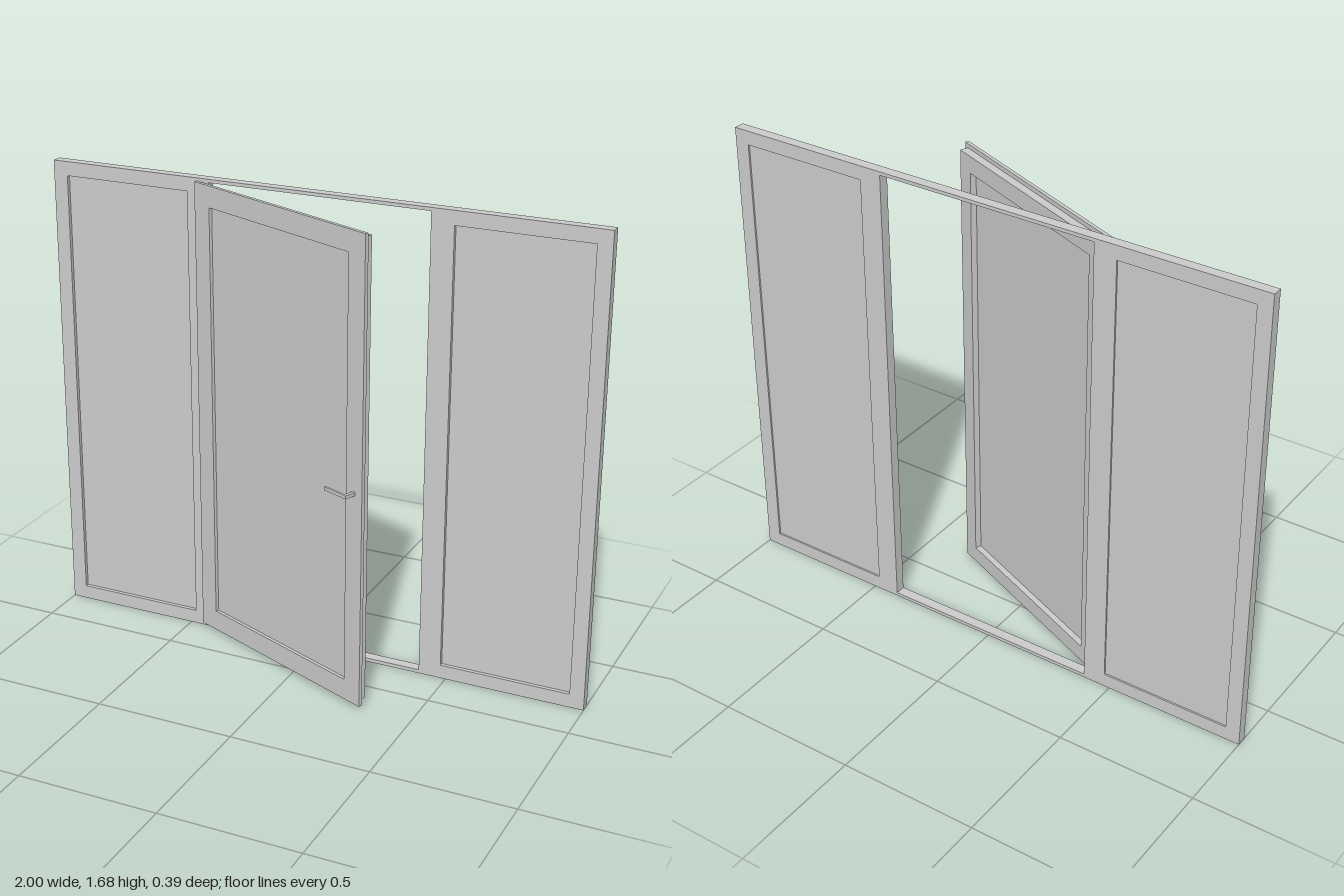
import * as THREE from 'three';

const grey = new THREE.MeshStandardMaterial({ color: 0xcccccc, flatShading: true });

// adds the corners of a rectangle to a Shape or Path
function rect(path, [x0, x1, y0, y1]) {
  path.moveTo(x0, y0);
  path.lineTo(x1, y0);
  path.lineTo(x1, y1);
  path.lineTo(x0, y1);
  path.closePath();
  return path;
}

// board with rectangular openings, running from z0 to z1
function board(name, outer, holes, z0, z1) {
  const shape = rect(new THREE.Shape(), outer);
  shape.holes = holes.map((h) => rect(new THREE.Path(), h));
  const geo = new THREE.ExtrudeGeometry(shape, { depth: z1 - z0, bevelEnabled: false });
  geo.translate(0, 0, z0);
  const mesh = new THREE.Mesh(geo, grey);
  mesh.name = name;
  return mesh;
}

function bar(name, [w, h, d], [x, y, z]) {
  const mesh = new THREE.Mesh(new THREE.BoxGeometry(w, h, d), grey);
  mesh.name = name;
  mesh.position.set(x, y, z);
  return mesh;
}

export function createModel() {
  const model = new THREE.Group();
  model.name = 'doorWithSidePanels';

  // fixed frame with the doorway and two side openings
  const back = -0.2, front = -0.163;
  const doorway = [-0.4, 0.4, 0.013, 1.668];
  const sides = { rightSidePane: [-0.948, -0.48, 0.05, 1.63], leftSidePane: [0.48, 0.948, 0.05, 1.63] };
  model.add(board('frame', [-1, 1, 0, 1.68], [doorway, ...Object.values(sides)], back, front));

  // side panes, set back from both faces of the frame
  for (const [name, area] of Object.entries(sides)) {
    model.add(board(name, area, [], back + 0.006, front - 0.014));
  }

  // door leaf, local x runs from the hinge edge, z = 0 is its front face
  const door = new THREE.Group();
  door.name = 'door';
  const W = 0.823, y0 = 0.015, y1 = 1.67, margin = 0.075, step = 0.015;
  const pane = [margin, W - margin, y0 + margin, y1 - margin];
  door.add(board('doorFlange', [0, W, y0, y1], [pane], -0.013, 0));
  door.add(board('doorBody', [step, W - step, y0 + step, y1 - step], [pane], -0.042, -0.013));
  door.add(board('doorPane', pane, [], -0.02, -0.012));

  // handle: a post out of the door and a lever towards the hinge
  const handle = new THREE.Group();
  handle.name = 'handle';
  handle.add(bar('handlePost', [0.012, 0.012, 0.042], [W - 0.038, 0.79, 0.021]));
  handle.add(bar('handleLever', [0.09, 0.012, 0.008], [W - 0.089, 0.79, 0.038]));
  door.add(handle);

  // swung open
  door.position.set(-0.445, 0, -0.151);
  door.rotation.y = -Math.PI / 8;
  model.add(door);

  return model;
}
